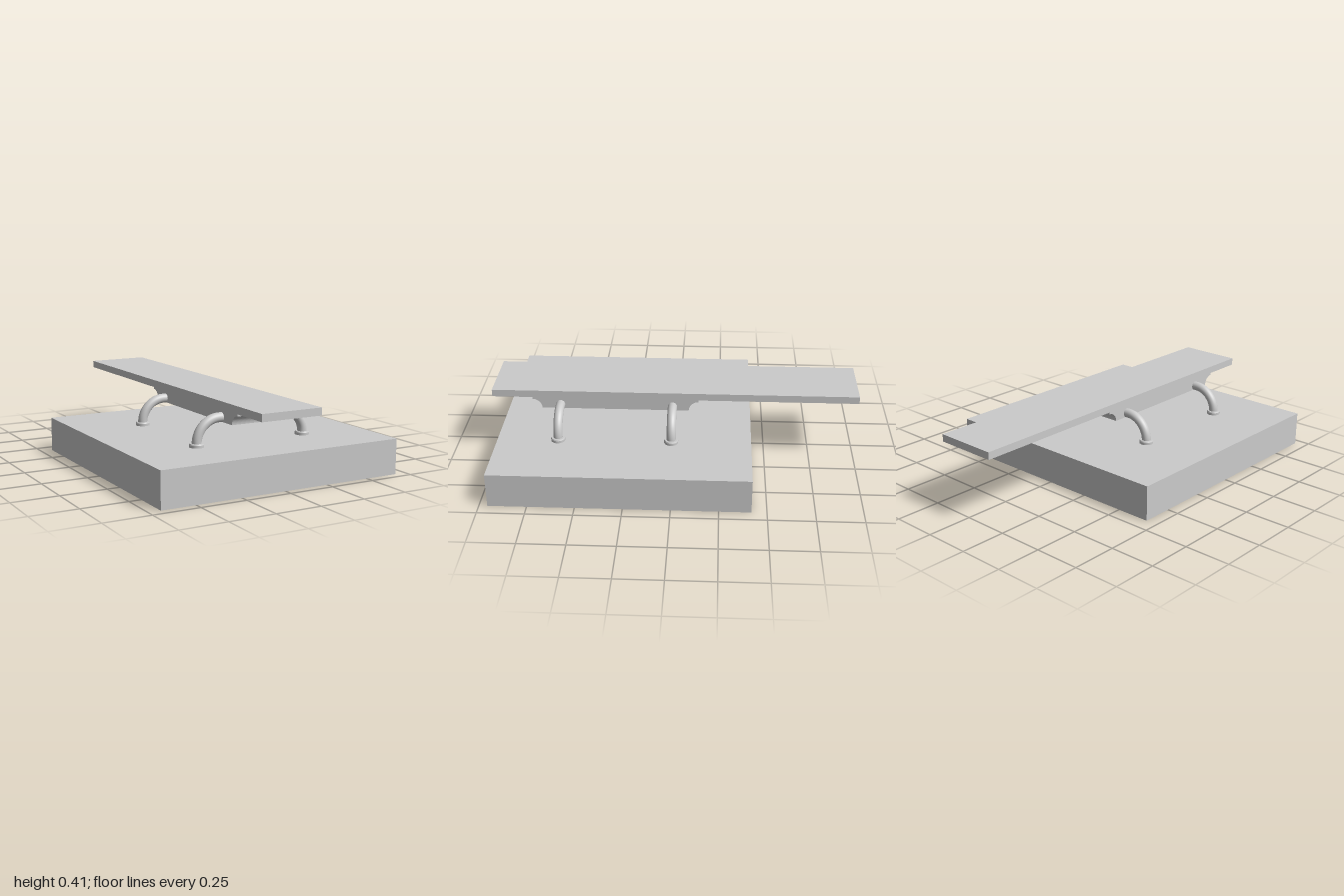
import * as THREE from 'three';

const material = new THREE.MeshStandardMaterial({ color: 0xcccccc });

function add(parent, name, geometry, x = 0, y = 0, z = 0) {
  const mesh = new THREE.Mesh(geometry, material);
  mesh.name = name;
  mesh.position.set(x, y, z);
  parent.add(mesh);
  return mesh;
}

// Side profile (z, y) of the block under the board, with a cove at each end
function supportGeometry(width) {
  const front = 0.78, back = -0.13, top = 0.37, lip = 0.358, bottom = 0.305;
  const r = lip - bottom;
  const shape = new THREE.Shape();
  shape.moveTo(back, top);
  shape.lineTo(back, lip);
  shape.absarc(back, bottom, r, Math.PI / 2, 0, true);
  shape.lineTo(front - r, bottom);
  shape.absarc(front, bottom, r, Math.PI, Math.PI / 2, true);
  shape.lineTo(front, top);
  shape.closePath();
  const geometry = new THREE.ExtrudeGeometry(shape, { depth: width, bevelEnabled: false, curveSegments: 16 });
  geometry.translate(0, 0, -width / 2);
  geometry.rotateY(-Math.PI / 2); // profile runs along z, extrusion along x
  return geometry;
}

// Quarter-bend pipe from a foot on the base into the block
function legGeometry(side, footX) {
  const y0 = 0.19, topY = 0.329, bend = 0.125, inner = 0.15;
  const k = bend * 0.5523;
  const path = new THREE.CurvePath();
  const p = (x, y) => new THREE.Vector3(side * x, y, 0);
  path.add(new THREE.LineCurve3(p(footX, y0), p(footX, topY - bend)));
  path.add(new THREE.CubicBezierCurve3(
    p(footX, topY - bend), p(footX, topY - bend + k),
    p(footX - bend + k, topY), p(footX - bend, topY)));
  path.add(new THREE.LineCurve3(p(footX - bend, topY), p(inner, topY)));
  return new THREE.TubeGeometry(path, 40, 0.025, 24);
}

export function createModel() {
  const model = new THREE.Group();
  model.name = 'mountedBoard';

  // Base slab and long board
  add(model, 'base', new THREE.BoxGeometry(1.372, 0.19, 1.375), 0, 0.095, 0.268);
  add(model, 'board', new THREE.BoxGeometry(0.345, 0.04, 2), 0, 0.389, 0);
  add(model, 'supportBlock', supportGeometry(0.345));

  // Collar with a small chamfer at its upper edge
  const collar = new THREE.LatheGeometry(
    [[0.038, 0], [0.038, 0.013], [0.038, 0.013], [0.035, 0.019], [0.035, 0.019], [0, 0.019]]
      .map(([x, y]) => new THREE.Vector2(x, y)), 32);

  // Four bent legs with collars
  for (const [row, z] of [['front', 0.625], ['back', 0.012]]) {
    for (const [sideName, side, footX] of [['Left', 1, 0.321], ['Right', -1, 0.316]]) {
      add(model, `${row}${sideName}Leg`, legGeometry(side, footX), 0, 0, z);
      add(model, `${row}${sideName}Collar`, collar, side * footX, 0.19, z);
    }
  }
  return model;
}
